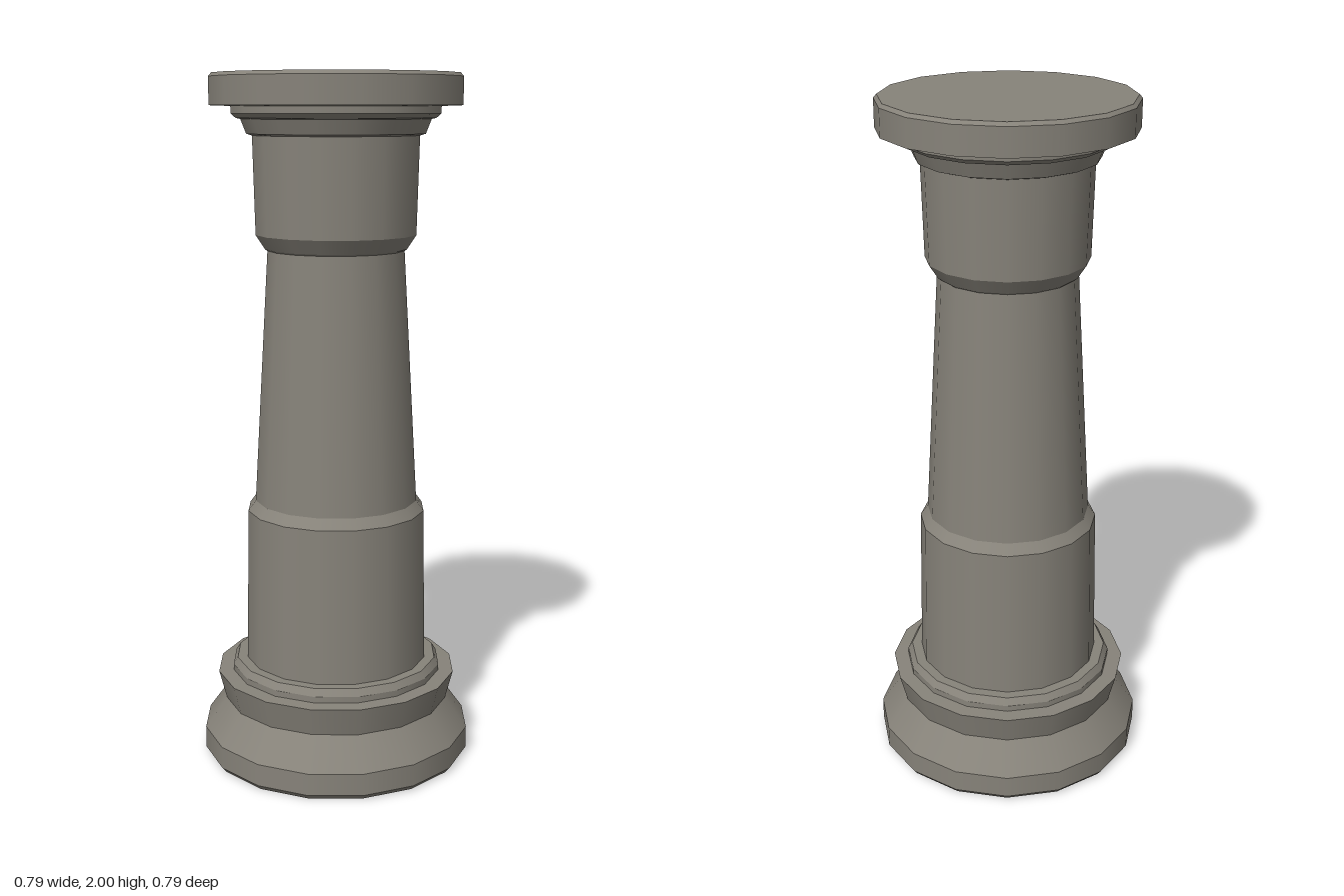
import * as THREE from 'three';
import { mergeGeometries } from 'three/addons/utils/BufferGeometryUtils.js';

const SIDES = 16;
const TURN = 0.243; // rotates the sixteen corners about the axis

// Revolves a [radius, height] profile, smooth around and sharp between bands
function turned(profile) {
  const bands = [];
  for (let i = 0; i + 1 < profile.length; i++) {
    const pair = [profile[i], profile[i + 1]].map(([r, y]) => new THREE.Vector2(r, y));
    bands.push(new THREE.LatheGeometry(pair, SIDES, TURN, Math.PI * 2));
  }
  return mergeGeometries(bands);
}

export function createModel() {
  const stone = new THREE.MeshStandardMaterial({ color: 0x87837a, side: THREE.DoubleSide });
  stone.name = 'stone';

  const parts = {
    // Flared foot, open underneath
    base: [
      [0.388, 0], [0.4, 0.015], [0.4, 0.08], [0.335, 0.17], [0.357, 0.255],
      [0.313, 0.257], [0.313, 0.275], [0.3, 0.295], [0.27, 0.295],
    ],
    // Thick lower drum with a bevelled shoulder
    lowerDrum: [[0.27, 0.295], [0.262, 0.75], [0.24, 0.78]],
    // Tapering middle
    shaft: [[0.24, 0.78], [0.198, 1.51]],
    // Collar below the capital
    collar: [[0.198, 1.51], [0.205, 1.515], [0.231, 1.555], [0.238, 1.83]],
    // Stepped mouldings and closed top slab
    capital: [
      [0.238, 1.83], [0.254, 1.835], [0.27, 1.875], [0.283, 1.878],
      [0.297, 1.89], [0.297, 1.91], [0.357, 1.912], [0.357, 1.99],
      [0.348, 2], [0, 2],
    ],
  };

  const group = new THREE.Group();
  group.name = 'column';
  for (const [name, profile] of Object.entries(parts)) {
    const mesh = new THREE.Mesh(turned(profile), stone);
    mesh.name = name;
    group.add(mesh);
  }
  return group;
}
